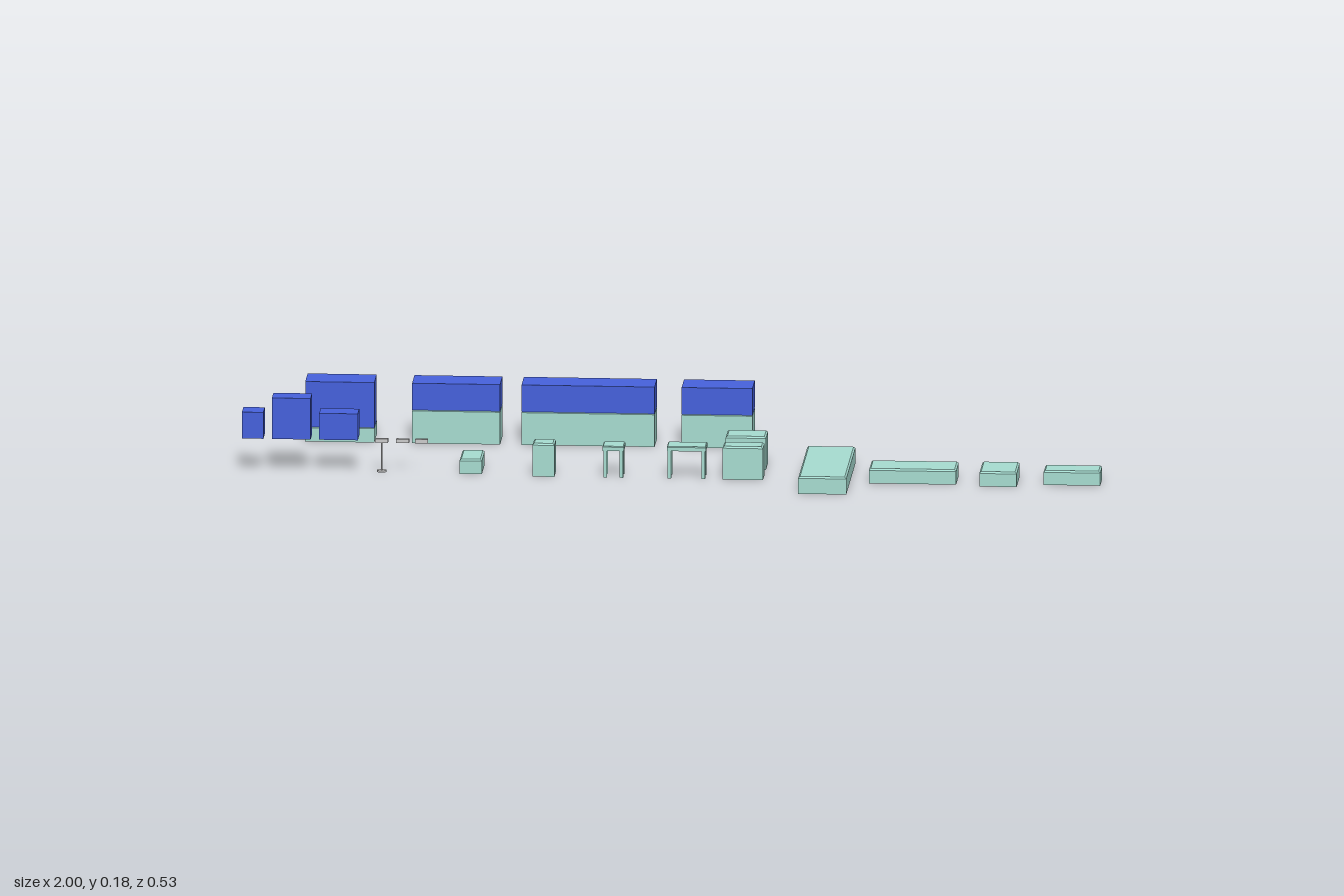
import * as THREE from 'three';

const green = new THREE.MeshStandardMaterial({ color: 0xa6dbd0, flatShading: true });
const blue = new THREE.MeshStandardMaterial({ color: 0x4661dc, flatShading: true });
const grey = new THREE.MeshStandardMaterial({ color: 0xcccccc });

// Box between two corners per axis, with its top edge chamfered by b
function block(name, material, [x0, x1], [y0, y1], [z0, z1], b = 0) {
  const w = x1 - x0, h = y1 - y0, d = z1 - z0;
  const g = new THREE.BoxGeometry(w, h, d, 1, b ? 2 : 1, 1);
  const p = g.attributes.position;
  if (b) {
    for (let i = 0; i < p.count; i++) {
      const y = p.getY(i);
      if (Math.abs(y) < h * 0.1) p.setY(i, h / 2 - b);
      else if (y > 0) {
        p.setX(i, p.getX(i) - Math.sign(p.getX(i)) * b);
        p.setZ(i, p.getZ(i) - Math.sign(p.getZ(i)) * b);
      }
    }
  }
  const mesh = new THREE.Mesh(g, material);
  mesh.position.set((x0 + x1) / 2, (y0 + y1) / 2, (z0 + z1) / 2);
  mesh.name = name;
  return mesh;
}

// Flat top on four square corner legs
function table(name, [x0, x1], height, [z0, z1]) {
  const group = new THREE.Group();
  group.name = name;
  const t = 0.008, slab = 0.011;
  group.add(block('tableTop', green, [x0, x1], [height - slab, height], [z0, z1], 0.002));
  for (const x of [x0 + 0.002, x1 - t - 0.002])
    for (const z of [z0 + 0.002, z1 - t - 0.002])
      group.add(block('leg', green, [x, x + t], [0, height - slab], [z, z + t]));
  return group;
}

export function createModel() {
  const model = new THREE.Group();

  // Back row: base cabinets with upper cabinets stacked on them
  const backZ = [-0.262, -0.181];
  const backRow = [
    [-0.874, -0.713, 0.035],
    [-0.625, -0.42, 0.079],
    [-0.37, -0.06, 0.079],
    [0.003, 0.168, 0.079],
  ];
  for (const [x0, x1, split] of backRow) {
    model.add(block('baseCabinet', green, [x0, x1], [0, split], [-0.263, -0.18], 0.002));
    model.add(block('upperCabinet', blue, [x0, x1], [split, 0.143], backZ));
  }

  // Raised wall units at the left end of the front row
  const unitZ = [0.083, 0.134];
  for (const [x0, x1, top] of [[-1, -0.95, 0.143], [-0.93, -0.84, 0.178], [-0.82, -0.73, 0.143]])
    model.add(block('wallUnit', blue, [x0, x1], [0.08, top], unitZ));

  // Slim stand with a round foot, followed by two small floating plates
  const stand = new THREE.Group();
  stand.name = 'stand';
  const pole = new THREE.Mesh(new THREE.CylinderGeometry(0.002, 0.002, 0.074, 12), grey);
  pole.position.set(-0.676, 0.037, 0.108);
  pole.name = 'pole';
  const foot = new THREE.Mesh(new THREE.CylinderGeometry(0.011, 0.011, 0.004, 24), grey);
  foot.position.set(-0.676, 0.002, 0.108);
  foot.name = 'foot';
  stand.add(pole, foot);
  for (const x of [-0.676, -0.627, -0.583])
    stand.add(block('plate', grey, [x - 0.015, x + 0.015], [0.07, 0.079], [0.103, 0.113]));
  model.add(stand);

  // Front row blocks: name, x range, height, z range
  const blocks = [
    ['lowBench', [-0.494, -0.442], 0.035, [0.021, 0.118]],
    ['pedestal', [-0.323, -0.272], 0.079, unitZ],
    ['frontCabinet', [0.12, 0.214], 0.079, unitZ],
    ['rearCabinet', [0.12, 0.214], 0.079, [-0.037, 0.031]],
    ['longPlatform', [0.305, 0.417], 0.041, [-0.047, 0.264]],
    ['wideBench', [0.462, 0.665], 0.035, [0.061, 0.148]],
    ['squareBench', [0.72, 0.807], 0.035, [0.056, 0.162]],
    ['endBench', [0.868, 1], 0.034, [0.073, 0.136]],
  ];
  for (const [name, x, height, z] of blocks)
    model.add(block(name, green, x, [0, height], z, 0.004));

  // Stool and small table on legs
  model.add(table('stool', [-0.16, -0.11], 0.075, unitZ));
  model.add(table('sideTable', [-0.01, 0.081], 0.077, unitZ));

  return model;
}
